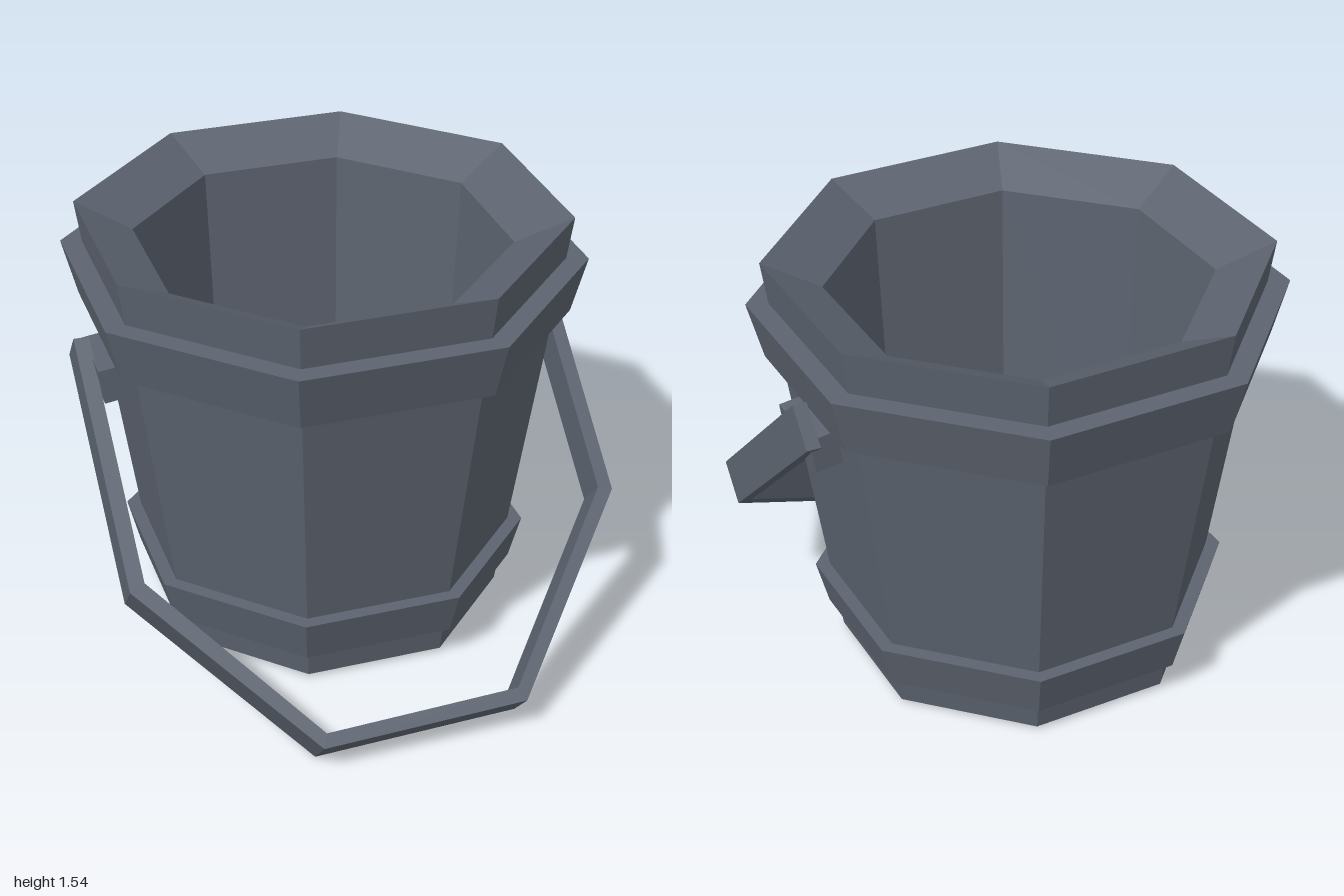
import * as THREE from 'three';

const material = new THREE.MeshStandardMaterial({ color: 0x5c636f, flatShading: true });
const SIDES = 8;
const CORNER = 1 / Math.cos(Math.PI / SIDES); // flat-to-centre distance -> corner radius

function add(parent, name, geometry) {
  const mesh = new THREE.Mesh(geometry, material);
  mesh.name = name;
  parent.add(mesh);
  return mesh;
}

// Octagonal turned shape; profile is [distance to flat, height]
function octagonal(profile) {
  const points = profile.map(([r, y]) => new THREE.Vector2(r * CORNER, y));
  return new THREE.LatheGeometry(points, SIDES, Math.PI / SIDES);
}

// Outer wall of the bucket at a given height
const wallAt = (y) => 0.605 + (y - 0.015) * 0.1344;

// Hoop standing proud of the wall
function hoop(y0, r0, y1, r1) {
  return octagonal([[wallAt(y0) - 0.01, y0], [r0, y0], [r1, y1], [wallAt(y1) - 0.01, y1]]);
}

export function createModel() {
  const model = new THREE.Group();
  model.name = 'bucket';

  const tub = new THREE.Group();
  tub.name = 'tub';
  tub.position.z = -0.135;
  tub.rotation.y = 0.012;
  model.add(tub);

  // Body: base, tapered wall, sloping rim, inside wall and floor
  add(tub, 'body', octagonal([
    [0, 0.015], [0.605, 0.015], [0.81, 1.54], [0.62, 1.44], [0.555, 0.12], [0, 0.12],
  ]));
  add(tub, 'lowerHoop', hoop(0.125, 0.65, 0.29, 0.69));
  add(tub, 'upperHoop', hoop(1.18, 0.812, 1.385, 0.862));

  // Lugs, square to the tapered wall
  for (const side of [1, -1]) {
    const lug = add(tub, side > 0 ? 'leftLug' : 'rightLug', new THREE.BoxGeometry(0.14, 0.13, 0.26));
    lug.position.set(side * 0.772, 1.055, 0);
    lug.rotation.z = -side * 0.134;
  }

  // Handle: faceted strap hanging forward, slightly skewed
  const outline = [
    [-0.9, -0.06], [-0.885, -0.98], [-0.35, -1.62], [0.385, -1.595], [0.89, -0.915], [0.87, 0],
    [0.82, 0], [0.84, -0.9], [0.365, -1.545], [-0.33, -1.57], [-0.83, -0.955], [-0.845, -0.06],
  ];
  const strap = new THREE.Shape(outline.map(([x, y]) => new THREE.Vector2(x, y)));
  const strapGeometry = new THREE.ExtrudeGeometry(strap, { depth: 0.16, bevelEnabled: false });
  strapGeometry.translate(0, 0, -0.08);
  const handle = add(model, 'handle', strapGeometry);
  handle.position.set(0, 1.15, -0.245);
  handle.rotation.x = -0.834;

  return model;
}
